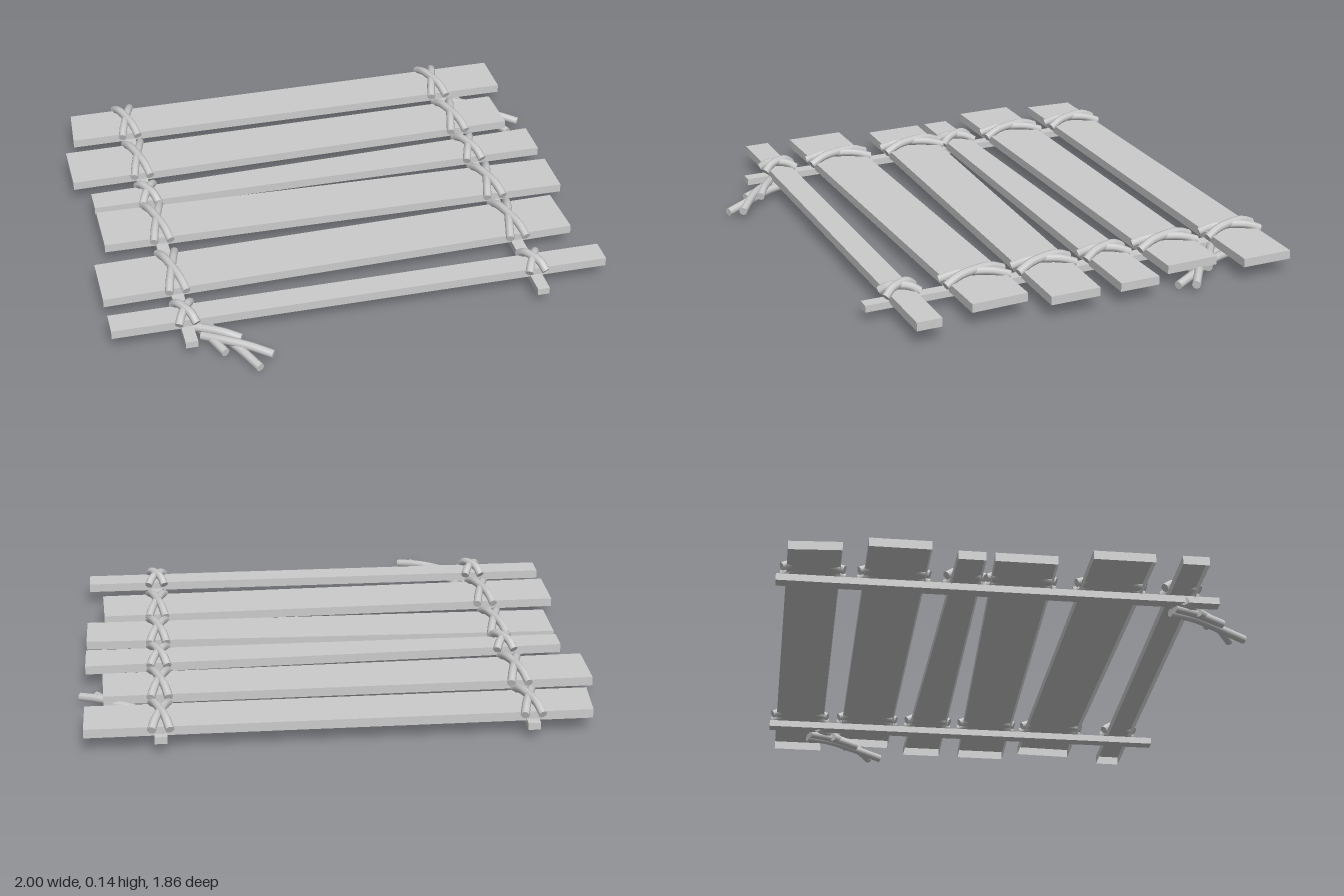
import * as THREE from 'three';
import { mergeGeometries } from 'three/addons/utils/BufferGeometryUtils.js';

const solid = new THREE.MeshStandardMaterial({ color: 0xcccccc });
const shell = new THREE.MeshStandardMaterial({ color: 0xcccccc, side: THREE.DoubleSide, flatShading: true });

const PLANK_BOTTOM = 0.063, PLANK_TOP = 0.098;
const RAILS = [-0.71, 0.685];

// left x, right x at the back edge; left x, right x at the front edge;
// then back z at left and right, front z at left and right
const PLANKS = [
  [-0.94, 0.97, -0.955, 0.97, -0.893, -0.906, -0.693, -0.70],
  [-1.0, 0.90, -1.0, 0.906, -0.60, -0.617, -0.366, -0.40],
  [-0.94, 0.975, -0.94, 0.975, -0.265, -0.323, -0.16, -0.16],
  [-0.94, 0.975, -0.94, 0.975, -0.126, -0.072, 0.11, 0.131],
  [-1.0, 0.906, -1.0, 0.915, 0.233, 0.195, 0.468, 0.425],
  [-1.0, 0.975, -1.0, 0.975, 0.57, 0.57, 0.671, 0.671],
];

// Board with four slanted edges, open underneath
function plankGeometry([bl, br, fl, fr, zbl, zbr, zfl, zfr]) {
  const g = new THREE.BoxGeometry(1, 1, 1);
  const p = g.attributes.position;
  for (let i = 0; i < p.count; i++) {
    const right = p.getX(i) > 0, front = p.getZ(i) > 0;
    const x = front ? (right ? fr : fl) : (right ? br : bl);
    const z = front ? (right ? zfr : zfl) : (right ? zbr : zbl);
    p.setXYZ(i, x, p.getY(i) > 0 ? PLANK_TOP : PLANK_BOTTOM, z);
  }
  // drop the bottom face (fourth of the six box faces)
  const index = Array.from(g.index.array);
  index.splice(18, 6);
  g.setIndex(index);
  g.clearGroups();
  g.computeVertexNormals();
  return g;
}

// Rope with flat cut ends along a smooth curve
function ropeGeometry(points, radius) {
  const curve = new THREE.CatmullRomCurve3(points.map((q) => new THREE.Vector3(...q)));
  const parts = [new THREE.TubeGeometry(curve, 12, radius, 8)];
  for (const t of [0, 1]) {
    const cap = new THREE.CircleGeometry(radius, 8);
    const dir = curve.getTangent(t).multiplyScalar(t ? 1 : -1);
    cap.applyQuaternion(new THREE.Quaternion().setFromUnitVectors(new THREE.Vector3(0, 0, 1), dir));
    const end = curve.getPoint(t);
    cap.translate(end.x, end.y, end.z);
    parts.push(cap);
  }
  return mergeGeometries(parts);
}

function addMesh(parent, name, geometry, material = solid) {
  const mesh = new THREE.Mesh(geometry, material);
  mesh.name = name;
  parent.add(mesh);
  return mesh;
}

// Two crossed ropes arching over a plank at one rail
function lashing(x, z0, z1) {
  const group = new THREE.Group();
  group.name = 'lashing';
  const a = z0 - 0.018, b = z1 + 0.018;
  const at = (t) => a + (b - a) * t;
  for (const s of [-1, 1]) {
    const lift = s > 0 ? 0.006 : 0;
    addMesh(group, 'lashingRope', ropeGeometry([
      [x - s * 0.034, 0.093, at(0)],
      [x - s * 0.02, 0.112 + lift, at(0.22)],
      [x, 0.117 + lift, at(0.5)],
      [x + s * 0.02, 0.112 + lift, at(0.78)],
      [x + s * 0.034, 0.093, at(1)],
    ], 0.017));
  }
  return group;
}

// Loose rope ends hanging out from under a corner
function ropeTail() {
  const group = new THREE.Group();
  group.name = 'ropeTail';
  const strands = [
    [[-0.73, 0.048, 0.63], [-0.64, 0.06, 0.69], [-0.58, 0.062, 0.73], [-0.52, 0.05, 0.765]],
    [[-0.66, 0.038, 0.70], [-0.58, 0.05, 0.765], [-0.50, 0.05, 0.82], [-0.42, 0.038, 0.875]],
    [[-0.65, 0.035, 0.59], [-0.60, 0.04, 0.70], [-0.54, 0.035, 0.80], [-0.48, 0.02, 0.92]],
    [[-0.69, 0.035, 0.60], [-0.64, 0.04, 0.70], [-0.59, 0.028, 0.81]],
  ];
  for (const points of strands) addMesh(group, 'tailStrand', ropeGeometry(points, 0.017));
  return group;
}

export function createModel() {
  const model = new THREE.Group();
  model.name = 'plankPlatform';

  for (const plank of PLANKS) addMesh(model, 'plank', plankGeometry(plank), shell);

  // Rails running front to back under the planks
  for (const x of RAILS) {
    const rail = addMesh(model, 'rail', new THREE.BoxGeometry(0.048, 0.028, 1.7));
    rail.position.set(x, 0.055, -0.083);

    // A lashing at each plank, fitted to its width at this rail
    for (const [bl, br, , , zbl, zbr, zfl, zfr] of PLANKS) {
      const t = (x - bl) / (br - bl);
      model.add(lashing(x, zbl + (zbr - zbl) * t, zfl + (zfr - zfl) * t));
    }
  }

  // Tails at the front right and back left corners
  const frontTail = ropeTail();
  const backTail = ropeTail();
  backTail.position.set(1.41, 0, -1.353);
  model.add(frontTail, backTail);

  return model;
}
